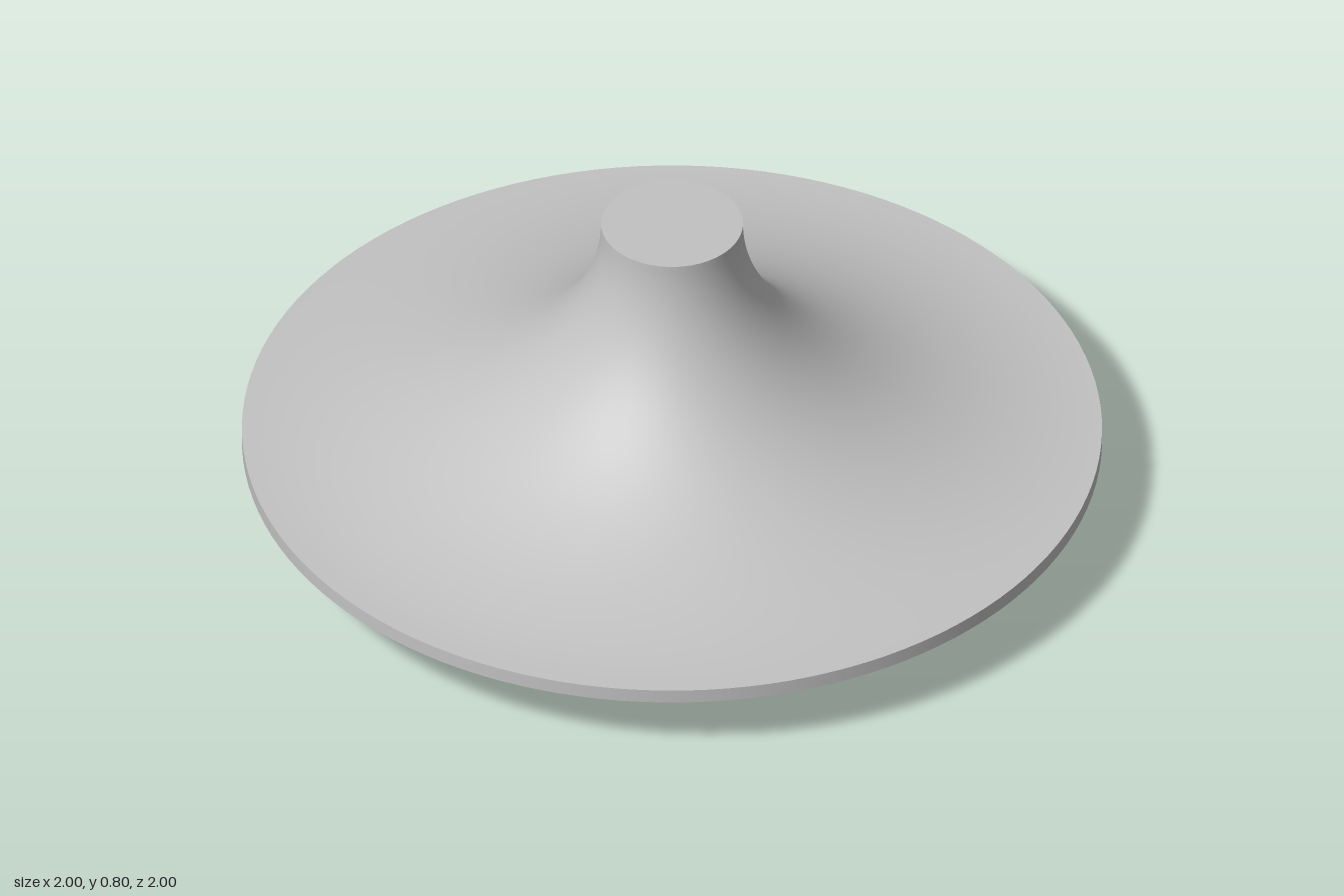
import * as THREE from 'three';

export function createModel() {
  const model = new THREE.Group();
  const grey = new THREE.MeshStandardMaterial({ color: 0xc2c2c2 });
  grey.name = 'plain grey';

  // Each section is its own lathe, so edges between sections stay sharp
  function turned(name, points) {
    const mesh = new THREE.Mesh(new THREE.LatheGeometry(points, 128), grey);
    mesh.name = name;
    model.add(mesh);
  }
  const v = (r, y) => new THREE.Vector2(r, y);

  const neckR = 0.165, topY = 0.8, rimTop = 0.2, rimBottom = 0.165;

  // Underside: flat foot, small bevel, then a soft S-curve out to the rim
  turned('foot', [v(0, 0), v(0.35, 0)]);
  turned('footEdge', [v(0.35, 0), v(0.36, 0.007), v(0.365, 0.025)]);
  const under = new THREE.SplineCurve([
    v(0.365, 0.025), v(0.41, 0.043), v(0.47, 0.073), v(0.54, 0.104),
    v(0.62, 0.128), v(0.73, 0.149), v(0.86, 0.161), v(1, rimBottom),
  ]);
  turned('underside', under.getPoints(32));

  // Thin vertical rim
  turned('rim', [v(1, rimBottom), v(1, rimTop)]);

  // Concave quarter-ellipse sweeping from the rim up to the neck
  const flare = [];
  for (let i = 0; i <= 48; i++) {
    const a = (i / 48) * Math.PI / 2;
    flare.push(v(1 - (1 - neckR) * Math.sin(a), topY - (topY - rimTop) * Math.cos(a)));
  }
  turned('flaredBody', flare);

  // Flat top of the neck
  turned('neckCap', [v(neckR, topY), v(0, topY)]);

  return model;
}
